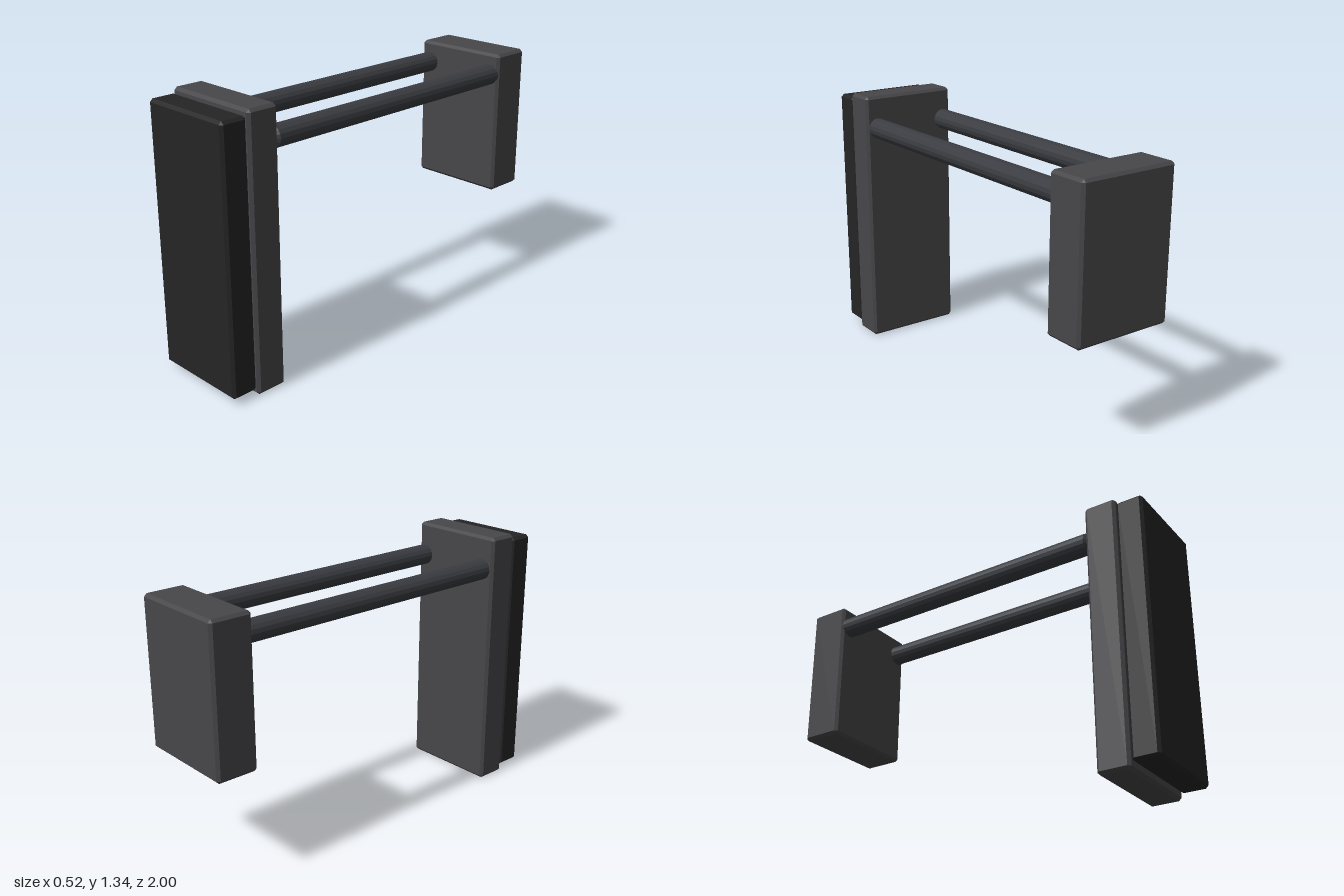
import * as THREE from 'three';
import { ConvexGeometry } from 'three/addons/geometries/ConvexGeometry.js';

const material = (color) => new THREE.MeshStandardMaterial({ color, flatShading: true });

// Box between two corners with every edge chamfered by c
function chamferBox(name, [x0, y0, z0], [x1, y1, z1], c, mat) {
  const half = [(x1 - x0) / 2, (y1 - y0) / 2, (z1 - z0) / 2];
  const points = [];
  for (const sx of [-1, 1]) for (const sy of [-1, 1]) for (const sz of [-1, 1]) {
    for (let axis = 0; axis < 3; axis++) {
      const p = half.map((h, i) => (i === axis ? h : h - c));
      points.push(new THREE.Vector3(sx * p[0], sy * p[1], sz * p[2]));
    }
  }
  const mesh = new THREE.Mesh(new ConvexGeometry(points), mat);
  mesh.name = name;
  mesh.position.set((x0 + x1) / 2, (y0 + y1) / 2, (z0 + z1) / 2);
  return mesh;
}

// Rod along z with chamfered ends
function rod(name, x, y, z0, z1, r, mat) {
  const c = 0.013;
  const profile = [[0, z0], [r - c, z0], [r, z0 + c], [r, z1 - c], [r - c, z1], [0, z1]]
    .map(([a, b]) => new THREE.Vector2(a, b));
  const geometry = new THREE.LatheGeometry(profile, 16).rotateX(Math.PI / 2);
  const mesh = new THREE.Mesh(geometry, mat);
  mesh.name = name;
  mesh.position.set(x, y, 0);
  return mesh;
}

export function createModel() {
  const group = new THREE.Group();
  const padMat = material(0x252525);
  const frameMat = material(0x47474a);
  const rodMat = material(0x3a3c41);

  // Dark pad on its tall backing plate
  group.add(chamferBox('frontPad', [-0.25, 0.03, 0.865], [0.25, 1.315, 1], 0.014, padMat));
  group.add(chamferBox('backingPlate', [-0.258, 0, 0.705], [0.258, 1.34, 0.865], 0.014, frameMat));

  // Shorter block at the rear
  group.add(chamferBox('rearBlock', [-0.258, 0.545, -1], [0.258, 1.285, -0.787], 0.014, frameMat));

  // Pair of connecting rods
  for (const side of [-1, 1]) {
    group.add(rod(side > 0 ? 'leftRod' : 'rightRod', side * 0.202, 1.177, -0.81, 0.703, 0.052, rodMat));
  }
  return group;
}
